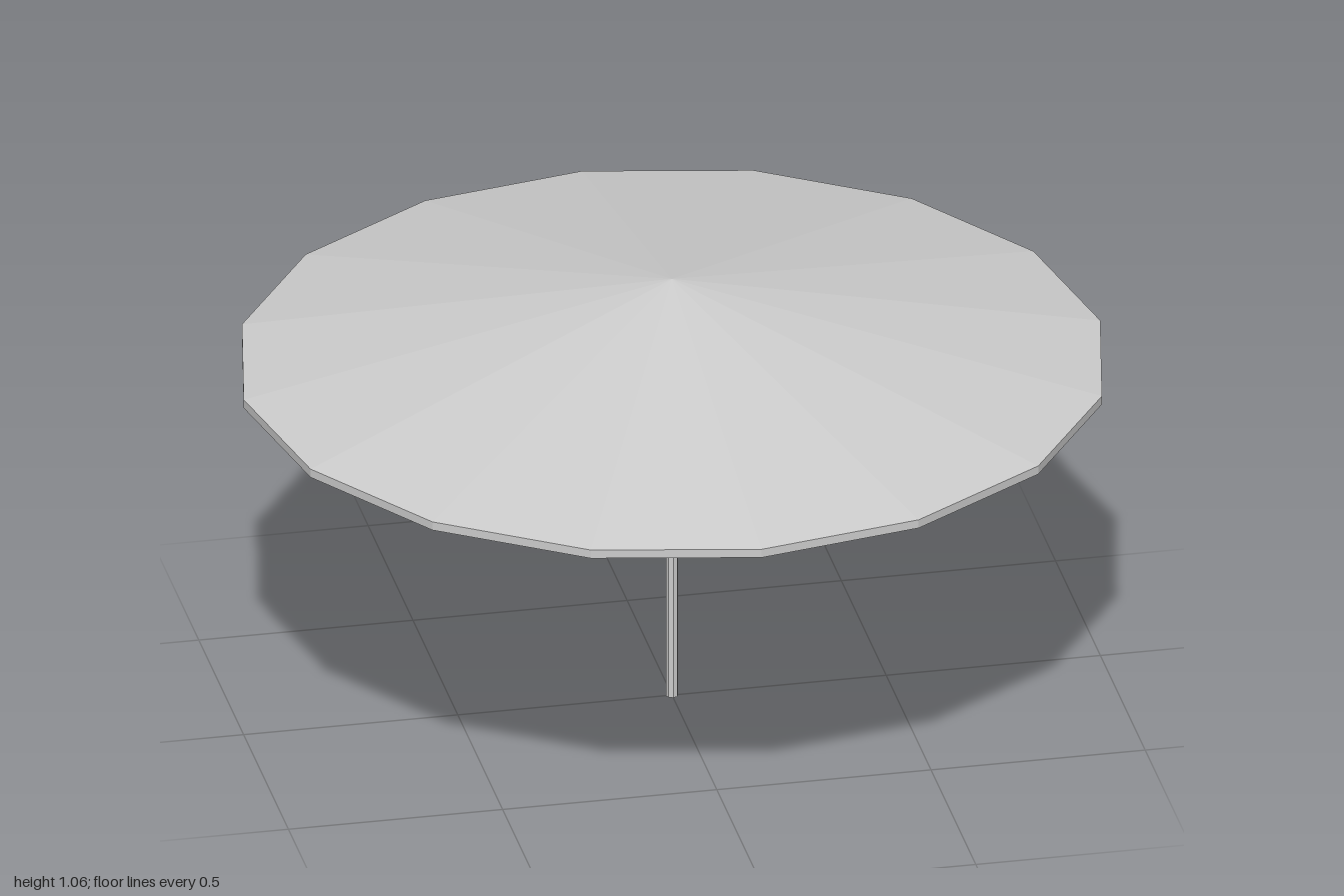
import * as THREE from 'three';

const SIDES = 16;

export function createModel() {
  const model = new THREE.Group();
  model.name = 'parasol';

  const grey = new THREE.MeshStandardMaterial({ color: 0xcccccc, flatShading: true });
  grey.name = 'light grey';

  // Canopy: thin conical shell, from the inner apex out round the rim to the top
  const profile = [[0, 1.04], [1, 0.832], [1, 0.853], [0, 1.06]]
    .map(([r, y]) => new THREE.Vector2(r, y));
  const canopy = new THREE.Mesh(new THREE.LatheGeometry(profile, SIDES), grey);
  canopy.name = 'canopy';
  model.add(canopy);

  // Pole: slim post reaching the inner apex
  const height = 1.04;
  const pole = new THREE.Mesh(new THREE.CylinderGeometry(0.0145, 0.0145, height, 8), grey);
  pole.name = 'pole';
  pole.position.y = height / 2;
  model.add(pole);

  return model;
}
